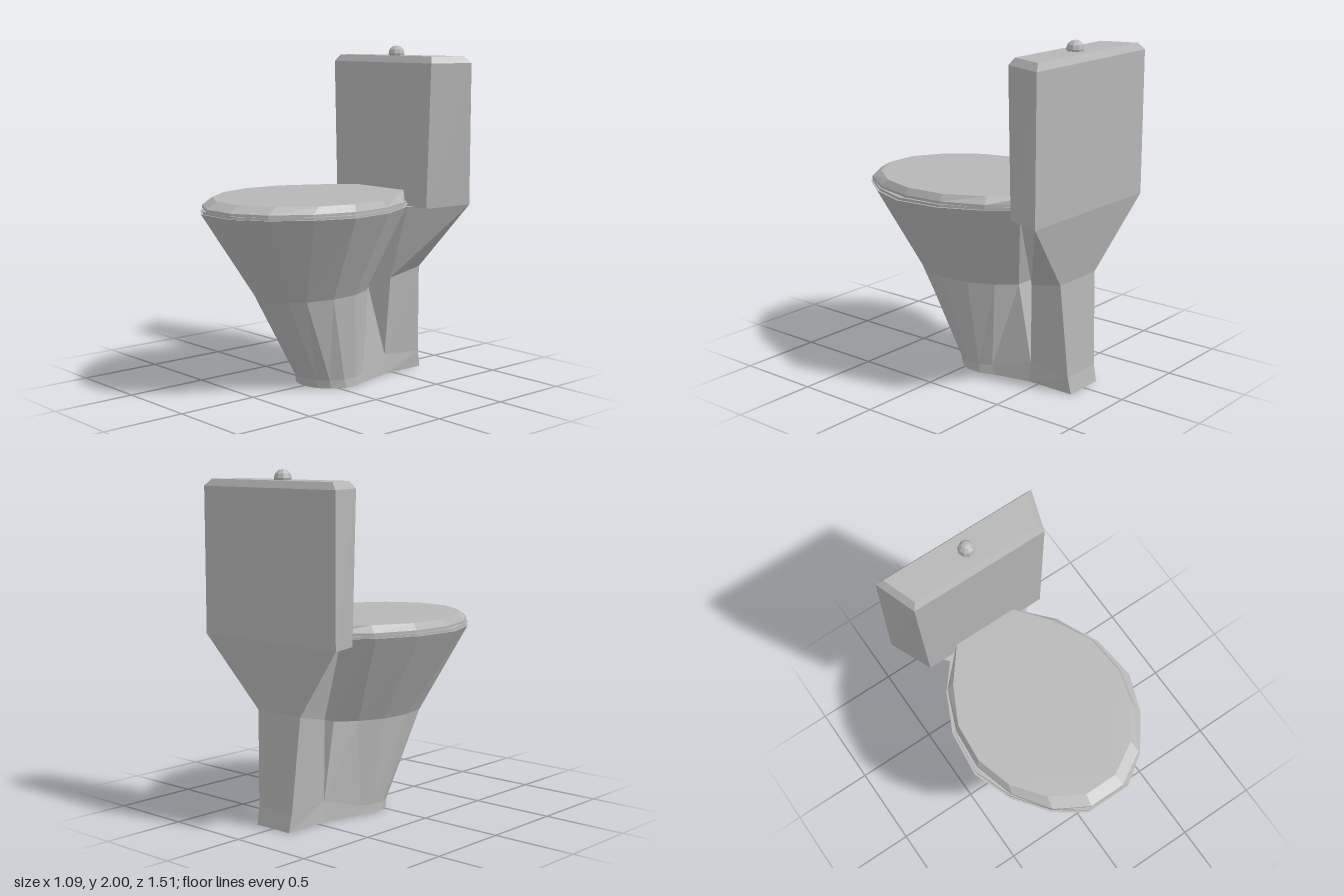
import * as THREE from 'three';

const ceramic = new THREE.MeshStandardMaterial({ color: 0xb6b6b6, flatShading: true });
ceramic.name = 'greyCeramic';

// Half outline [x, z, y] from front to back, mirrored into a closed ring.
function ring(half, y) {
  const side = half.map(([x, z, h = y]) => [x, h, z]);
  return [...side, ...side.slice().reverse().map(([x, h, z]) => [-x, h, z])];
}

// Faceted solid through rings listed from bottom to top, capped at both ends.
function loft(name, rings) {
  const pos = [];
  const tri = (a, b, c) => pos.push(...a, ...b, ...c);
  const n = rings[0].length;
  for (let r = 0; r < rings.length - 1; r++) {
    const a = rings[r], b = rings[r + 1];
    for (let i = 0; i < n; i++) {
      const j = (i + 1) % n;
      tri(a[i], a[j], b[j]);
      tri(a[i], b[j], b[i]);
    }
  }
  const low = rings[0], top = rings[rings.length - 1];
  for (let i = 1; i < n - 1; i++) {
    tri(low[0], low[i + 1], low[i]);
    tri(top[0], top[i], top[i + 1]);
  }
  const geo = new THREE.BufferGeometry();
  geo.setAttribute('position', new THREE.Float32BufferAttribute(pos, 3));
  geo.computeVertexNormals();
  const mesh = new THREE.Mesh(geo, ceramic);
  mesh.name = name;
  return mesh;
}

export function createModel() {
  const model = new THREE.Group();
  model.name = 'toilet';

  // Bowl with its foot, waist and flared rim
  const rim = [[0.14, 0.75], [0.31, 0.63], [0.46, 0.43], [0.545, 0.2], [0.515, -0.08], [0.4, -0.32], [0.27, -0.475]];
  model.add(loft('bowl', [
    ring([[0.045, 0.11], [0.1, 0.09], [0.16, 0.04], [0.205, -0.04], [0.205, -0.13], [0.175, -0.22], [0.125, -0.44]], 0),
    ring([[0.045, 0.12], [0.1, 0.1], [0.16, 0.05], [0.2, -0.03], [0.2, -0.12], [0.175, -0.2, 0.055], [0.115, -0.44, 0.12]], 0.05),
    ring([[0.08, 0.41], [0.155, 0.365], [0.22, 0.28], [0.26, 0.11], [0.245, -0.07], [0.18, -0.22], [0.085, -0.325]], 0.56),
    ring(rim, 1.07),
  ]));

  // Thin seat just above the rim
  const seat = rim.map(([x, z]) => [x * 0.975, z * 0.985]);
  model.add(loft('seat', [ring(seat, 1.07), ring(seat, 1.085)]));

  // Lid with a bevelled edge
  const lidEdge = [[0.11, 0.735], [0.3, 0.625], [0.44, 0.42], [0.51, 0.17], [0.49, -0.08], [0.39, -0.32], [0.21, -0.505]];
  model.add(loft('lid', [
    ring(lidEdge, 1.085),
    ring(lidEdge, 1.1),
    ring([[0.1, 0.67], [0.29, 0.56], [0.43, 0.37], [0.49, 0.16], [0.47, -0.08], [0.355, -0.31], [0.2, -0.505]], 1.14),
  ]));

  // Rear column, flaring out to carry the tank
  model.add(loft('column', [
    ring([[0.125, -0.44], [0.125, -0.735]], 0),
    ring([[0.115, -0.44, 0.12], [0.13, -0.715, 0.1]]),
    ring([[0.14, -0.46, 0.6], [0.165, -0.68, 0.65]]),
    ring([[0.27, -0.47, 1.045], [0.505, -0.757, 1.06]]),
  ]));

  // Tank with a bevelled top
  model.add(loft('tank', [
    ring([[0.393, -0.505, 1.045], [0.505, -0.757, 1.06]]),
    ring([[0.42, -0.505], [0.505, -0.757]], 1.9),
    ring([[0.395, -0.53], [0.465, -0.735]], 1.94),
  ]));

  // Flush knob
  const knob = new THREE.Mesh(new THREE.SphereGeometry(0.05, 9, 6), ceramic);
  knob.name = 'flushKnob';
  knob.position.set(0, 1.95, -0.635);
  model.add(knob);

  return model;
}
